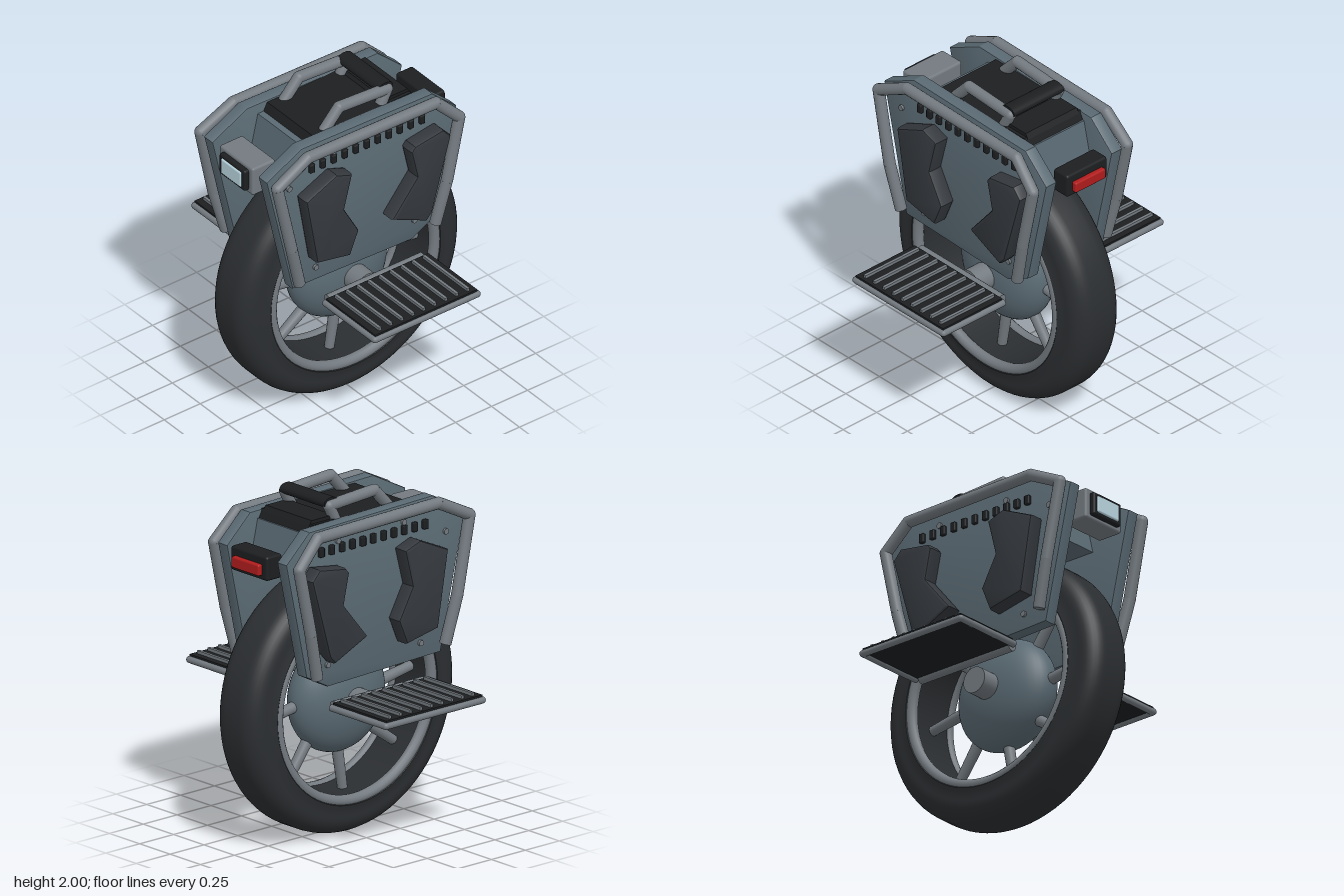
import * as THREE from 'three';
import { toCreasedNormals } from 'three/addons/utils/BufferGeometryUtils.js';
import { RoundedBoxGeometry } from 'three/addons/geometries/RoundedBoxGeometry.js';

const mat = (color, side = THREE.FrontSide) => new THREE.MeshStandardMaterial({ color, side });
const V = (x, y, z) => new THREE.Vector3(x, y, z);

export function createModel() {
  const model = new THREE.Group();
  const slate = mat(0x5a6a73), dark = mat(0x2b2e31), black = mat(0x1c1e20);
  const metal = mat(0x737a80), red = mat(0xb01c1c), glass = mat(0xb8d4de);
  const pad = mat(0x34383d);

  function add(name, geo, material, parent = model, x = 0, y = 0, z = 0) {
    const mesh = new THREE.Mesh(geo, material);
    mesh.name = name;
    mesh.position.set(x, y, z);
    parent.add(mesh);
    return mesh;
  }
  function group(name, y = 0) {
    const g = new THREE.Group();
    g.name = name;
    g.position.y = y;
    model.add(g);
    return g;
  }
  // round bar between two points
  function bar(name, a, b, r, material, parent, r2 = r) {
    const m = add(name, new THREE.CylinderGeometry(r2, r, a.distanceTo(b), 16), material, parent);
    m.position.copy(a).lerp(b, 0.5);
    m.quaternion.setFromUnitVectors(V(0, 1, 0), b.clone().sub(a).normalize());
  }
  // bent tube made of straight runs with ball joints
  function bentTube(name, pts, r, parent) {
    pts.forEach((p, i) => {
      if (i) bar(name, pts[i - 1], p, r, metal, parent);
      if (i && i < pts.length - 1) add(name + 'Bend', new THREE.SphereGeometry(r, 16, 12), metal, parent, p.x, p.y, p.z);
    });
  }
  // side plate from a [z, y] outline, centred on its thickness, bevelled edges
  function plate(outline, thick, bevel) {
    const shape = new THREE.Shape(outline.map(([z, y]) => new THREE.Vector2(-z, y)));
    const geo = new THREE.ExtrudeGeometry(shape, {
      depth: thick - 2 * bevel, bevelThickness: bevel, bevelSize: bevel, bevelOffset: -bevel, bevelSegments: 2,
    });
    geo.translate(0, 0, bevel - thick / 2).rotateY(Math.PI / 2);
    return toCreasedNormals(geo, 0.5);
  }
  // box whose top is shortened along z
  function taperBox(w, h, d, topD) {
    const geo = new THREE.BoxGeometry(w, h, d), p = geo.attributes.position;
    for (let i = 0; i < p.count; i++) if (p.getY(i) > 0) p.setZ(i, p.getZ(i) * topD / d);
    geo.computeVertexNormals();
    return geo;
  }

  // wheel
  const wheel = group('wheel', 0.77);
  const profile = [[0.55, -0.15], [0.59, -0.178], [0.61, -0.172], [0.64, -0.165]];
  for (let i = 0; i <= 8; i++) {
    const a = i / 8 * Math.PI / 2;
    profile.push([0.66 + 0.11 * Math.sin(a), -0.055 - 0.11 * Math.cos(a)]);
  }
  const loop = [...profile, ...profile.slice().reverse().map(([r, x]) => [r, -x]), profile[0]];
  add('tyre', toCreasedNormals(new THREE.LatheGeometry(
    loop.map(([r, x]) => new THREE.Vector2(r, x)), 80).rotateZ(Math.PI / 2), 0.7), dark, wheel);
  for (const s of [-1, 1]) {
    add('rimRing', new THREE.TorusGeometry(0.567, 0.032, 12, 72).rotateY(Math.PI / 2), metal, wheel, s * 0.15);
  }
  add('hub', new THREE.SphereGeometry(0.325, 48, 32).scale(0.55, 1, 1), slate, wheel);
  add('axle', new THREE.CylinderGeometry(0.077, 0.077, 0.57, 32).rotateZ(Math.PI / 2), metal, wheel);
  for (let i = 0; i < 8; i++) {
    const at = (deg, r) => {
      const a = THREE.MathUtils.degToRad(deg + i * 45);
      return V(0, r * Math.sin(a), -r * Math.cos(a));
    };
    bar('spoke', at(270, 0.26), at(265, 0.565), 0.034, metal, wheel, 0.028);
  }

  // central body and lid
  const body = group('body');
  add('bodyShell', taperBox(0.42, 0.24, 0.89, 0.78), slate, body, 0, 1.7, -0.005);
  add('lid', taperBox(0.42, 0.06, 0.74, 0.68), black, body, 0, 1.84, -0.02);
  add('lidRear', taperBox(0.38, 0.03, 0.2, 0.16), black, body, 0, 1.875, -0.27);

  // carry handle
  const handle = group('handle');
  for (const s of [-1, 1]) {
    bentTube('handleTube', [V(s * 0.18, 1.84, 0.235), V(s * 0.18, 1.965, 0.12),
      V(s * 0.18, 1.945, -0.215), V(s * 0.18, 1.86, -0.17)], 0.033, handle);
  }
  add('grip', new THREE.CylinderGeometry(0.053, 0.053, 0.37, 24).rotateZ(Math.PI / 2).scale(1, 0.6, 1),
    black, handle, 0, 1.96, -0.2);

  // lights
  const head = group('headlight');
  add('headlightHousing', new RoundedBoxGeometry(0.3, 0.18, 0.16, 2, 0.015), metal, head, 0, 1.685, 0.615);
  add('headlightBezel', new RoundedBoxGeometry(0.23, 0.135, 0.06, 2, 0.012), black, head, 0, 1.685, 0.695);
  add('headlightLens', new RoundedBoxGeometry(0.18, 0.1, 0.03, 2, 0.01), glass, head, 0, 1.685, 0.72);
  const tail = group('tailLight');
  add('tailHousing', new RoundedBoxGeometry(0.3, 0.14, 0.115, 2, 0.015), black, tail, 0, 1.66, -0.587);
  add('tailLens', new RoundedBoxGeometry(0.225, 0.065, 0.035, 2, 0.01), red, tail, 0, 1.65, -0.657);

  // outlines in [z, y]
  const panelOutline = [[0.52, 0.97], [-0.31, 0.945], [-0.47, 1.03], [-0.62, 1.71],
    [-0.45, 1.865], [0.46, 1.885], [0.7, 1.76]];
  const frontPad = [[0.42, 1.15], [0.19, 1.105], [0.13, 1.25], [0.23, 1.43],
    [0.175, 1.645], [0.285, 1.685], [0.495, 1.59]];
  const rearPad = [[-0.1, 1.215], [-0.34, 1.105], [-0.38, 1.15], [-0.51, 1.61],
    [-0.455, 1.67], [-0.26, 1.64], [-0.235, 1.61], [-0.275, 1.43]];
  const bolts = [[0.24, 1.78], [-0.245, 1.775], [0.55, 1.66], [0.365, 1.055], [-0.32, 1.075]];

  for (const s of [-1, 1]) {
    const label = s > 0 ? 'left' : 'right';
    // side panel with pads, vents and bolts
    const side = group(label + 'Side');
    add('sidePanel', plate(panelOutline, 0.08, 0.01), slate, side, s * 0.244);
    add('frontPad', plate(frontPad, 0.1, 0.018), pad, side, s * 0.33);
    add('rearPad', plate(rearPad, 0.1, 0.018), pad, side, s * 0.33);
    for (let i = 0; i < 11; i++) {
      add('vent', new RoundedBoxGeometry(0.04, 0.055, 0.034, 1, 0.006), black, side, s * 0.285, 1.735, 0.395 - i * 0.0765);
    }
    for (const [z, y] of bolts) {
      add('bolt', new THREE.CylinderGeometry(0.017, 0.017, 0.03, 12).rotateZ(Math.PI / 2), metal, side, s * 0.283, y, z);
    }
    // tubular guard
    bentTube('guardTube', [V(s * 0.33, 1.03, 0.51), V(s * 0.35, 1.3, 0.58), V(s * 0.345, 1.745, 0.675),
      V(s * 0.335, 1.855, 0.455), V(s * 0.335, 1.84, -0.435), V(s * 0.35, 1.69, -0.585),
      V(s * 0.35, 1.3, -0.5), V(s * 0.33, 1.03, -0.435)], 0.034, side);

    // pedal
    const pedal = group(label + 'Pedal');
    add('pedalPlate', new THREE.BoxGeometry(0.44, 0.035, 0.71), black, pedal, s * 0.59, 0.865);
    const c = [V(s * 0.36, 0.852, 0.355), V(s * 0.807, 0.852, 0.355), V(s * 0.807, 0.852, -0.355), V(s * 0.36, 0.852, -0.355)];
    bentTube('pedalFrame', c, 0.02, pedal);
    for (let i = 0; i < 9; i++) {
      add('gripStrip', new THREE.BoxGeometry(0.4, 0.02, 0.018), metal, pedal, s * 0.59, 0.89, -0.308 + i * 0.0765);
    }
    add('pedalHinge', new THREE.CylinderGeometry(0.03, 0.03, 0.66, 16).rotateX(Math.PI / 2), metal, pedal, s * 0.347, 0.852);
  }
  return model;
}
